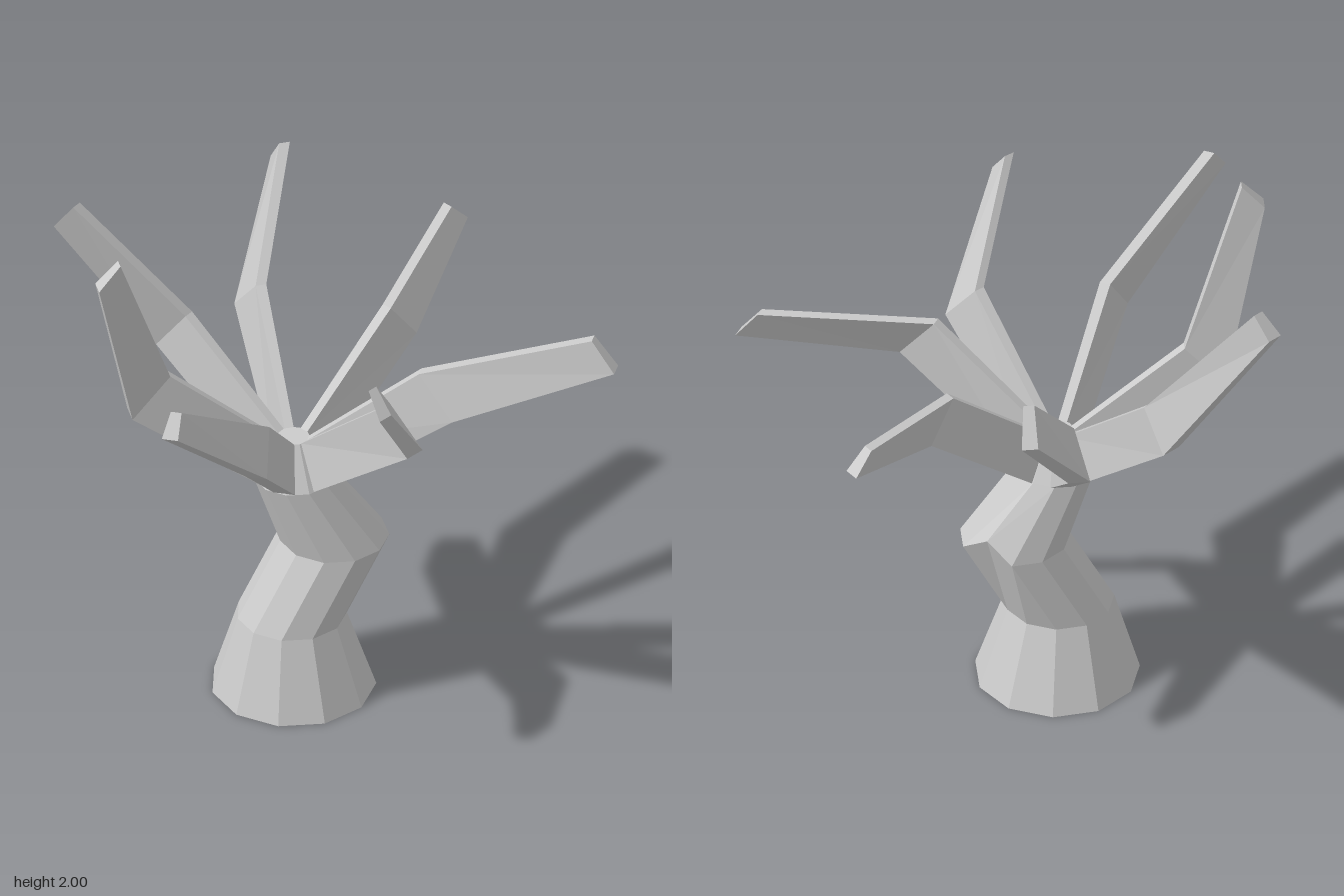
import * as THREE from 'three';

const material = new THREE.MeshStandardMaterial({ color: 0xcccccc, flatShading: true });

// Closed, faceted skin over a row of equal-length rings (counter-clockwise about the path).
function loft(rings, name) {
  const pos = [];
  const tri = (...pts) => pts.forEach((p) => pos.push(p.x, p.y, p.z));
  const n = rings[0].length;
  for (let k = 0; k < rings.length - 1; k++) {
    const lo = rings[k], hi = rings[k + 1];
    for (let i = 0; i < n; i++) {
      const j = (i + 1) % n;
      tri(lo[i], lo[j], hi[j]);
      tri(lo[i], hi[j], hi[i]);
    }
  }
  const first = rings[0], last = rings[rings.length - 1];
  for (let i = 1; i < n - 1; i++) {
    tri(first[0], first[i + 1], first[i]);
    tri(last[0], last[i], last[i + 1]);
  }
  const geometry = new THREE.BufferGeometry();
  geometry.setAttribute('position', new THREE.Float32BufferAttribute(pos, 3));
  geometry.computeVertexNormals();
  const mesh = new THREE.Mesh(geometry, material);
  mesh.name = name;
  return mesh;
}

const SIDES = 11;
const CENTRE = new THREE.Vector3(-0.08, 0, 0.005);

// Crooked trunk: [centre x, y, centre z, radius]
function makeTrunk() {
  const levels = [
    [-0.08, 0, 0.005, 0.3],
    [-0.09, 0.31, 0.01, 0.2],
    [0.07, 0.61, 0.04, 0.2],
    [-0.08, 0.9, 0.01, 0.147],
    [-0.08, 1.06, 0.005, 0.06],
  ];
  const rings = levels.map(([x, y, z, r]) =>
    Array.from({ length: SIDES }, (_, i) => {
      const a = Math.PI / 2 + (i / SIDES) * Math.PI * 2;
      return new THREE.Vector3(x + r * Math.sin(a), y, z + r * Math.cos(a));
    }));
  // knot: one corner of the bend is pushed upwards
  rings[2][1].set(0.215, 0.68, -0.055);
  return loft(rings, 'trunk');
}

// Blade-like branch: narrow upper edge, wider lower edge, one bend
function makeBranch([midTop, midLow, tipTop, tipLow], name) {
  const v = (p) => new THREE.Vector3(...p);
  const out = v(midTop).add(v(midLow)).multiplyScalar(0.5).sub(CENTRE).setY(0).normalize();
  const side = new THREE.Vector3(out.z, 0, -out.x);
  const section = (top, low, wTop, wLow) => [
    top.clone().addScaledVector(side, wTop / 2),
    top.clone().addScaledVector(side, -wTop / 2),
    low.clone().addScaledVector(side, -wLow / 2),
    low.clone().addScaledVector(side, wLow / 2),
  ];
  const rootTop = CENTRE.clone().addScaledVector(out, 0.055).setY(1.06);
  const rootLow = CENTRE.clone().addScaledVector(out, 0.14).setY(0.9);
  return loft([
    section(rootTop, rootLow, 0.034, 0.08),
    section(v(midTop), v(midLow), 0.04, 0.08),
    section(v(tipTop), v(tipLow), 0.04, 0.06),
  ], name);
}

// Each branch: upper and lower edge at the bend, then at the tip
const BRANCHES = {
  frontLeftBranch: [[0.26, 1.41, 0.33], [0.34, 1.25, 0.44], [0.86, 1.47, 0.54], [0.915, 1.355, 0.61]],
  frontBranch: [[0.04, 1.41, 0.46], [0.09, 1.25, 0.58], [-0.2, 1.74, 0.77], [-0.19, 1.65, 0.845]],
  frontRightBranch: [[-0.4, 1.4, 0.34], [-0.48, 1.25, 0.42], [-0.88, 1.73, 0.53], [-0.93, 1.65, 0.57]],
  rightBranch: [[-0.52, 1.4, -0.13], [-0.66, 1.25, -0.17], [-0.77, 2.0, -0.06], [-0.85, 1.91, -0.08]],
  backRightBranch: [[-0.26, 1.4, -0.43], [-0.31, 1.25, -0.53], [-0.6, 1.86, -0.65], [-0.645, 1.77, -0.7]],
  backBranch: [[0.06, 1.4, -0.46], [0.07, 1.25, -0.59], [0.33, 1.76, -0.75], [0.365, 1.64, -0.85]],
  backLeftBranch: [[0.38, 1.4, -0.11], [0.49, 1.25, -0.14], [0.83, 1.5, -0.44], [0.905, 1.42, -0.465]],
};

export function createModel() {
  const model = new THREE.Group();
  model.name = 'bareTree';
  model.add(makeTrunk());
  for (const [name, points] of Object.entries(BRANCHES)) model.add(makeBranch(points, name));
  return model;
}
